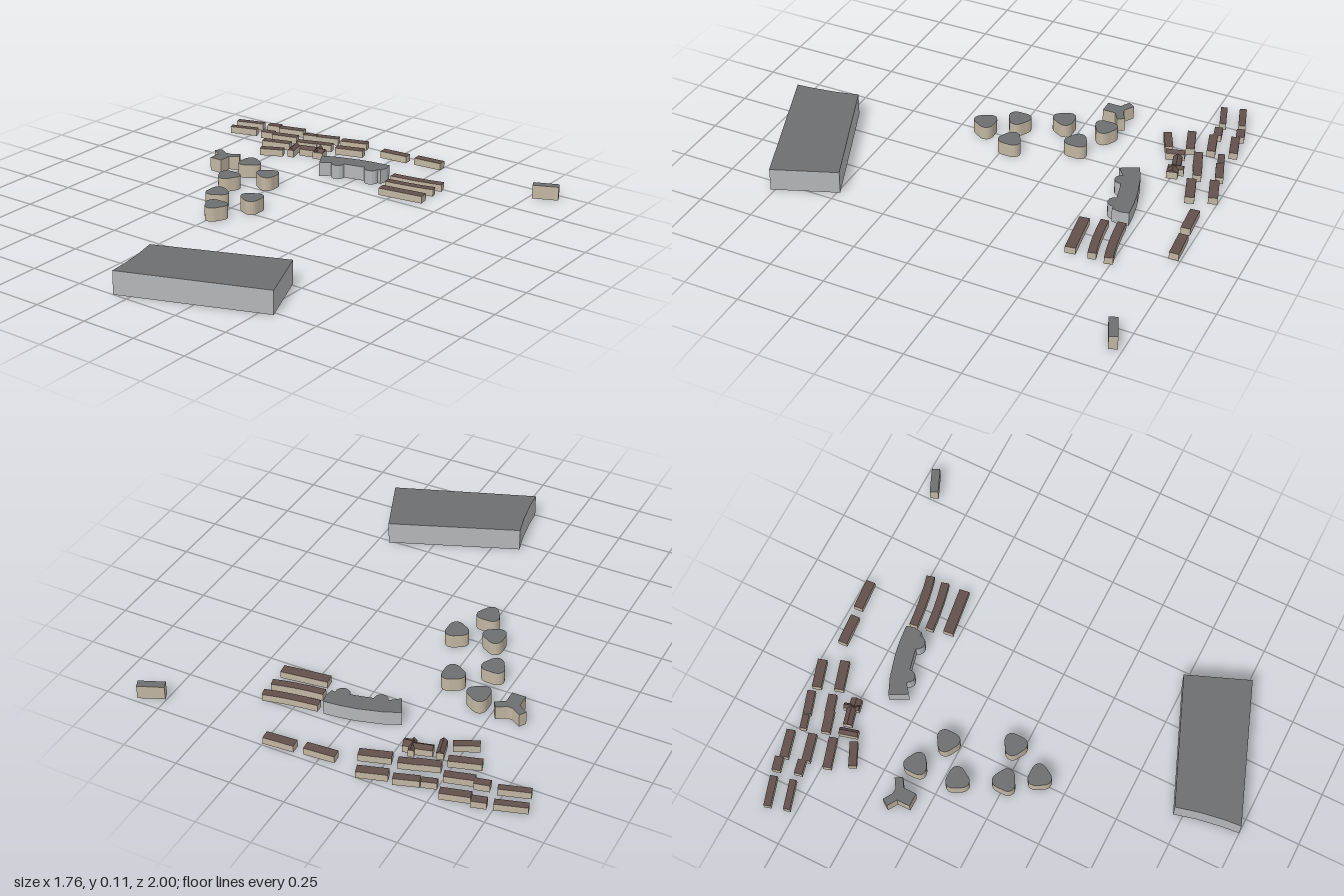
import * as THREE from 'three';

const mat = (color) => new THREE.MeshStandardMaterial({ color, flatShading: true, side: THREE.DoubleSide });

export function createModel() {
  const model = new THREE.Group();
  const beige = mat(0xc2b6a2), steel = mat(0xb4b7ba), greyRoof = mat(0x6c6e70), brownRoof = mat(0x62504a);

  // Building from a footprint of [x, z] points: walls and flat roof, open underneath
  function building(name, footprint, height, wallMat, roofMat) {
    const group = new THREE.Group();
    group.name = name;
    const pts = footprint.map(([x, z]) => new THREE.Vector2(x, -z));
    if (THREE.ShapeUtils.isClockWise(pts)) pts.reverse();
    const roofGeo = new THREE.ShapeGeometry(new THREE.Shape(pts));
    roofGeo.rotateX(-Math.PI / 2).translate(0, height, 0);
    const pos = [];
    pts.forEach((a, i) => {
      const b = pts[(i + 1) % pts.length];
      pos.push(a.x, 0, -a.y, b.x, 0, -b.y, b.x, height, -b.y);
      pos.push(a.x, 0, -a.y, b.x, height, -b.y, a.x, height, -a.y);
    });
    const wallGeo = new THREE.BufferGeometry();
    wallGeo.setAttribute('position', new THREE.Float32BufferAttribute(pos, 3));
    wallGeo.computeVertexNormals();
    const walls = new THREE.Mesh(wallGeo, wallMat);
    walls.name = name + 'Walls';
    const roof = new THREE.Mesh(roofGeo, roofMat);
    roof.name = name + 'Roof';
    group.add(walls, roof);
    model.add(group);
    return group;
  }

  // Rotated rectangle footprint
  function rect(x, z, length, width, degrees) {
    const a = THREE.MathUtils.degToRad(degrees), c = Math.cos(a), s = Math.sin(a);
    return [[-1, -1], [1, -1], [1, 1], [-1, 1]].map(([u, v]) => {
      const p = u * length / 2, q = v * width / 2;
      return [x + p * c + q * s, z - p * s + q * c];
    });
  }

  // Large warehouse with a bent end wall
  building('warehouse', [[-0.12, 0.71], [0.447, 0.487], [0.558, 0.768], [-0.07, 1], [-0.077, 0.92], [-0.095, 0.81]],
    0.106, steel, greyRoof);

  // Isolated block
  building('outlyingBlock', rect(0.817, -0.94, 0.118, 0.038, 23), 0.064, beige, greyRoof);

  // Straight terraces: x, z, length, width, angle
  [
    [-0.813, -0.889, 0.138, 0.032, 17], [-0.69, -0.923, 0.064, 0.038, 15], [-0.59, -0.93, 0.128, 0.038, 15],
    [-0.468, -0.913, 0.066, 0.03, 17], [-0.38, -0.938, 0.11, 0.036, 18], [-0.24, -0.963, 0.132, 0.042, 17],
    [0.003, -0.948, 0.138, 0.042, 4], [0.182, -0.966, 0.138, 0.042, 4],
    [-0.79, -0.806, 0.136, 0.03, 17], [-0.66, -0.828, 0.066, 0.036, 13], [-0.563, -0.836, 0.128, 0.038, 15],
    [-0.42, -0.822, 0.105, 0.04, 17], [-0.347, -0.848, 0.095, 0.038, 17], [-0.204, -0.87, 0.138, 0.042, 17],
    [-0.544, -0.743, 0.14, 0.038, 17], [-0.505, -0.65, 0.112, 0.036, 25],
  ].forEach((t) => building('terrace', rect(...t), 0.033, beige, brownRoof));

  // Curved terraces: bent centre line and width
  [
    [[0.15, -0.7], [0.29, -0.713], [0.395, -0.742], 0.038],
    [[0.165, -0.628], [0.29, -0.64], [0.395, -0.668], 0.036],
    [[0.187, -0.545], [0.29, -0.558], [0.4, -0.573], 0.046],
  ].forEach(([a, b, c, w]) => {
    const curve = new THREE.QuadraticBezierCurve(new THREE.Vector2(...a), new THREE.Vector2(...b), new THREE.Vector2(...c));
    const back = [], front = [];
    for (let i = 0; i <= 5; i++) {
      const p = curve.getPoint(i / 5), t = curve.getTangent(i / 5);
      back.push([p.x + t.y * w / 2, p.y - t.x * w / 2]);
      front.unshift([p.x - t.y * w / 2, p.y + t.x * w / 2]);
    }
    building('curvedTerrace', [...back, ...front], 0.033, beige, brownRoof);
  });

  // Crescent hall with two round bays on the front
  const bay = (x, z, r, tilt) => Array.from({ length: 7 }, (_, i) => {
    const a = Math.PI * i / 6 - tilt;
    return [x + r * Math.cos(a), z + r * Math.sin(a)];
  });
  building('crescentHall', [
    [-0.203, -0.635], [-0.13, -0.667], [-0.025, -0.697], [0.045, -0.71], [0.12, -0.718], [0.13, -0.68], [0.122, -0.64],
    ...bay(0.074, -0.635, 0.033, 0.2), [-0.01, -0.617],
    ...bay(-0.087, -0.598, 0.031, 0.25), [-0.162, -0.555],
  ], 0.067, steel, greyRoof);

  // Rounded three-sided towers: x, z, direction of the point
  [
    [-0.43, -0.377, 0], [-0.275, -0.305, 180], [-0.41, -0.187, 90],
    [-0.325, 0, 0], [-0.16, -0.035, 180], [-0.24, 0.125, 90],
  ].forEach(([x, z, deg]) => {
    const start = THREE.MathUtils.degToRad(deg);
    const outline = Array.from({ length: 30 }, (_, i) => {
      const a = i / 30 * Math.PI * 2, r = 0.05 + 0.006 * Math.cos(3 * a);
      return [x + r * Math.cos(a + start), z + r * Math.sin(a + start)];
    });
    building('tower', outline, 0.064, beige, greyRoof);
  });

  // Three-armed tower
  const arms = [];
  [[90, 0.062, 0.031], [212, 0.075, 0.018], [328, 0.075, 0.018]].forEach(([deg, len, half]) => {
    const a = THREE.MathUtils.degToRad(deg), c = Math.cos(a), s = Math.sin(a);
    [[0.025, -half], [len, -half], [len, half], [0.025, half]].forEach(([u, v]) =>
      arms.push([-0.582 + u * c - v * s, -0.375 + u * s + v * c]));
  });
  building('threeArmedTower', arms, 0.064, beige, greyRoof);

  // Cluster of small houses with pitched roofs
  [
    [-0.425, -0.715, 0.085, 0.032, 105], [-0.355, -0.748, 0.09, 0.04, 15],
    [-0.315, -0.76, 0.07, 0.026, 105], [-0.295, -0.752, 0.045, 0.05, 12],
  ].forEach(([x, z, length, width, deg]) => {
    const house = building('pitchedHouse', rect(x, z, length, width, deg), 0.033, beige, brownRoof);
    const gable = new THREE.Shape([[-width / 2, 0], [width / 2, 0], [0, 0.014]].map((p) => new THREE.Vector2(...p)));
    const geo = new THREE.ExtrudeGeometry(gable, { depth: length, bevelEnabled: false });
    geo.translate(0, 0, -length / 2).rotateY(Math.PI / 2);
    const roof = new THREE.Mesh(geo, brownRoof);
    roof.name = 'pitchedRoof';
    roof.position.set(x, 0.033, z);
    roof.rotation.y = THREE.MathUtils.degToRad(deg);
    house.add(roof);
  });

  return model;
}
